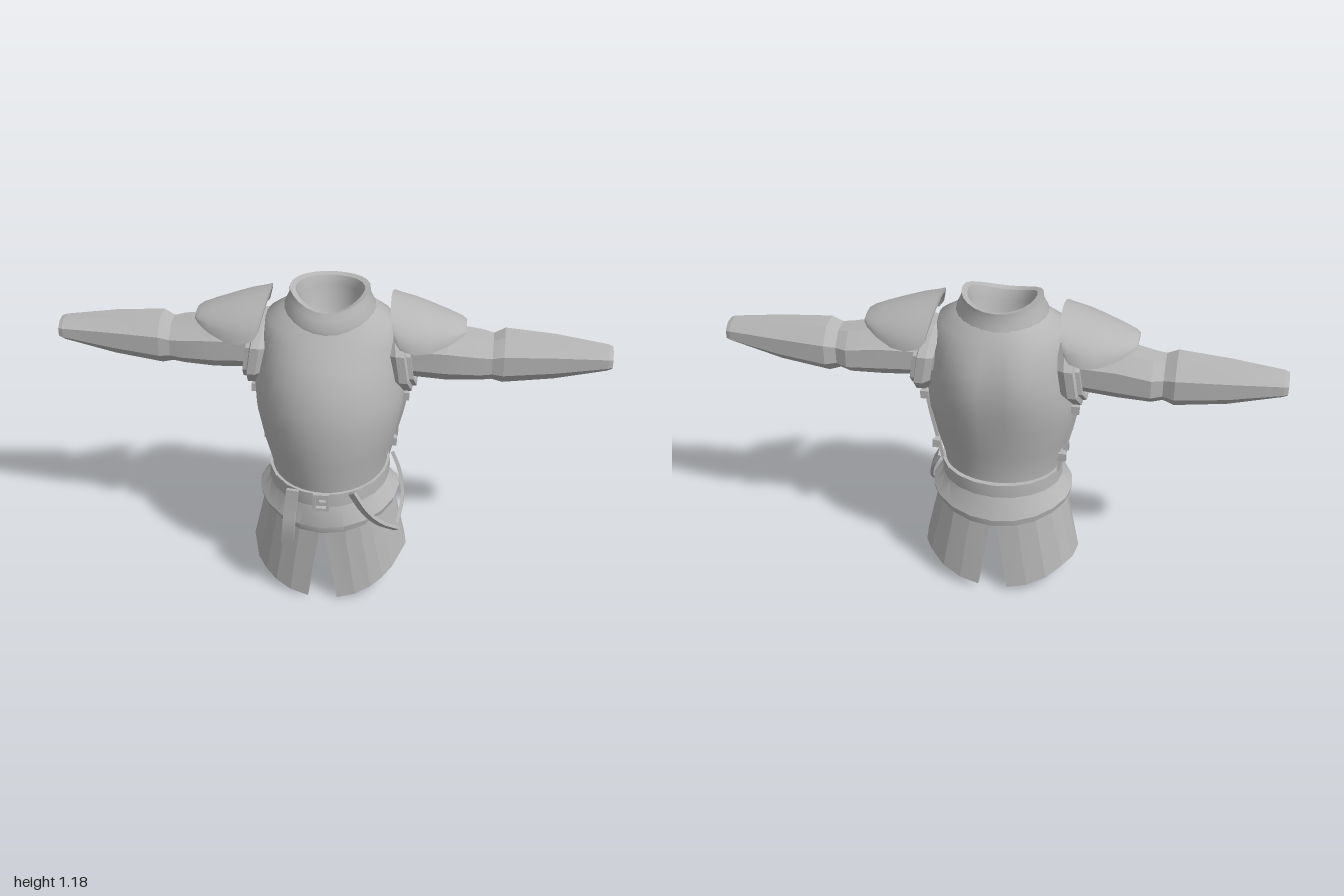
import * as THREE from 'three';
import { toCreasedNormals } from 'three/addons/utils/BufferGeometryUtils.js';

const steel = new THREE.MeshStandardMaterial({ color: 0xb6b6b6, side: THREE.DoubleSide });
steel.name = 'steelGrey';
const V = (x, y, z) => new THREE.Vector3(x, y, z);
const lerp = THREE.MathUtils.lerp;

// Joins closed cross-sections into a skin; caps pair opposite corners
function loft(name, sections, { crease = 0.9, caps = false } = {}) {
  const pos = [], n = sections[0].length;
  const tri = (...p) => p.forEach(v => pos.push(v.x, v.y, v.z));
  const quad = (a, b, c, d) => { tri(a, b, c); tri(a, c, d); };
  for (let i = 0; i < sections.length - 1; i++) {
    for (let j = 0; j < n; j++) {
      const k = (j + 1) % n, a = sections[i], b = sections[i + 1];
      quad(a[j], a[k], b[k], b[j]);
    }
  }
  if (caps) [sections[0], sections.at(-1)].forEach((s, end) => {
    for (let j = 0; j < n / 2 - 1; j++) {
      const q = [s[j], s[j + 1], s[n - 2 - j], s[n - 1 - j]];
      quad(...(end ? q : q.reverse()));
    }
  });
  const g = new THREE.BufferGeometry();
  g.setAttribute('position', new THREE.Float32BufferAttribute(pos, 3));
  const mesh = new THREE.Mesh(toCreasedNormals(g, crease), steel);
  mesh.name = name;
  return mesh;
}

// Point on an oval round the body; angle 0 faces the front
function oval(a, w, front, back, y, power = 1) {
  const bend = v => Math.sign(v) * Math.abs(v) ** power;
  const c = bend(Math.cos(a));
  return V(w * bend(Math.sin(a)), y, -0.02 + c * (c > 0 ? front + 0.02 : -0.02 - back));
}

// Ring whose height may differ at front, side and back
function ring([yf, ys, yb, w, front, back, groove = 0], n = 36) {
  return Array.from({ length: n }, (_, i) => {
    const a = i / n * Math.PI * 2, c = Math.cos(a);
    const p = oval(a, w, front, back, lerp(ys, c > 0 ? yf : yb, c * c));
    if (c < 0) p.z += groove * Math.exp(-((p.x / 0.05) ** 2));
    return p;
  });
}
const level = (y, w, f, b, g) => [y, y, y, w, f, b, g];

// Flat ribbon following a path
function strap(name, points, across, width, thick, pointed = false) {
  const path = new THREE.CatmullRomCurve3(points), dir = across.clone().normalize(), steps = 8;
  const sections = Array.from({ length: steps + 1 }, (_, i) => {
    const p = path.getPoint(i / steps);
    const out = path.getTangent(i / steps).cross(dir).normalize().multiplyScalar(thick / 2);
    const side = dir.clone().multiplyScalar(width / 2 * (pointed && i === steps ? 0.1 : 1));
    return [[1, 1], [-1, 1], [-1, -1], [1, -1]].map(([s, o]) =>
      p.clone().addScaledVector(side, s).addScaledVector(out, o));
  });
  return loft(name, sections, { crease: 0.5, caps: true });
}

function box(name, w, h, d, x, y, z) {
  const m = new THREE.Mesh(new THREE.BoxGeometry(w, h, d), steel);
  m.name = name;
  m.position.set(x, y, z);
  return m;
}

// Parts repeated on both sides, made for +x
function makeSide() {
  const side = new THREE.Group();

  // Sleeve with a pinched elbow: x, y, z, half height, half depth
  const arm = [
    [0.22, 0.93, -0.05, 0.085, 0.09], [0.42, 0.928, -0.055, 0.095, 0.1],
    [0.54, 0.918, -0.065, 0.084, 0.095], [0.58, 0.918, -0.06, 0.077, 0.083],
    [0.62, 0.922, -0.065, 0.092, 0.093], [0.8, 0.928, -0.065, 0.075, 0.075],
    [0.985, 0.938, -0.06, 0.042, 0.054], [1.0, 0.938, -0.06, 0.036, 0.048],
  ].map(([x, y, z, ry, rz]) => Array.from({ length: 8 }, (_, i) => {
    const a = (i + 0.5) / 8 * Math.PI * 2;
    return V(x, y + 1.06 * ry * Math.sin(a), z + 1.06 * rz * Math.cos(a));
  }));
  side.add(loft('sleeve', arm, { crease: 0.2, caps: true }));

  // Stepped rim round the armhole, leaning out at the bottom
  const rim = [[0.225, 0.125], [0.25, 0.142], [0.28, 0.142], [0.285, 0.122], [0.3, 0.12], [0.3, 0.102], [0.25, 0.098]]
    .map(([x, r]) => Array.from({ length: 8 }, (_, i) => {
      const a = (i + 0.5) / 8 * Math.PI * 2, y = r * 0.96 * Math.sin(a);
      return V(x - 0.15 * y, 0.918 + y, -0.048 + r * 1.04 * Math.cos(a));
    }));
  side.add(loft('armholeRim', rim, { crease: 0.2 }));

  // Domed shoulder plate: x, half depth, crown height, edge height
  const plate = [
    [0.215, 0.15, 1.148, 1.04], [0.235, 0.16, 1.142, 1.015], [0.29, 0.162, 1.128, 1.0],
    [0.35, 0.145, 1.108, 1.0], [0.42, 0.108, 1.084, 1.015], [0.465, 0.075, 1.066, 1.032], [0.482, 0.05, 1.055, 1.04],
  ].map(([x, w, top, edge]) => {
    const arc = t => Array.from({ length: 15 }, (_, i) => {
      const a = (i / 14 - 0.5) * Math.PI;
      return V(x + 0.025 * (1 - Math.cos(a)) * (0.48 - x) / 0.26,
        edge + (top - edge - t) * Math.cos(a), -0.04 + (w - t) * Math.sin(a));
    });
    return [...arc(0), ...arc(0.016).reverse()];
  });
  side.add(loft('shoulderPlate', plate, { crease: 0.7, caps: true }));

  // Side seam and its two fasteners
  side.add(strap('sideSeam', [V(0.272, 0.8, -0.045), V(0.272, 0.72, -0.05), V(0.246, 0.6, -0.06), V(0.215, 0.47, -0.07)],
    V(0, 0, 1), 0.012, 0.012));
  [[0.275, 0.757, -0.05], [0.234, 0.553, -0.06]].forEach(([x, y, z]) => {
    side.add(box('fastenerStrap', 0.02, 0.022, 0.08, x, y, z));
    [-0.036, 0.036].forEach(d => side.add(box('fastenerEnd', 0.03, 0.032, 0.012, x, y, z + d)));
  });

  // Half skirt, slit at the front and back
  const skirt = [0, 0.25, 0.5, 0.72, 0.95, 1.57, 1.9, 2.2, 2.55, 2.87, Math.PI].map(a => {
    const b = 0.15 + a / Math.PI * (Math.PI - 0.3);
    const c = Math.cos(b), drop = Math.max(0, (Math.abs(c) - 0.5) / 0.49) ** 1.2;
    const low = 0.09 - drop * (c > 0 ? 0.09 : 0.07), t = 0.014;
    return [
      oval(a, 0.235, 0.235, -0.207, 0.36, 0.8), oval(b, 0.297, 0.238, -0.24, low, 0.88),
      oval(b, 0.297 - t, 0.238 - t, -0.24 + t, low, 0.88), oval(a, 0.235 - t, 0.235 - t, -0.207 + t, 0.36, 0.8),
    ];
  });
  side.add(loft('skirtHalf', skirt, { crease: 0.12, caps: true }));
  return side;
}

export function createModel() {
  const model = new THREE.Group();
  model.name = 'bodyArmour';

  // Breastplate and backplate
  model.add(loft('cuirass', [
    level(0.44, 0.212, 0.23, -0.198), level(0.5, 0.215, 0.24, -0.197), level(0.6, 0.243, 0.255, -0.215),
    level(0.72, 0.268, 0.265, -0.242, 0.008), level(0.8, 0.272, 0.255, -0.258, 0.014),
    level(0.88, 0.262, 0.236, -0.268, 0.02), level(0.95, 0.252, 0.2, -0.258, 0.02),
    level(1.0, 0.245, 0.166, -0.24, 0.014), [1.035, 1.07, 1.065, 0.225, 0.142, -0.208, 0.006],
    [1.07, 1.112, 1.11, 0.155, 0.118, -0.175],
  ].map(r => ring(r)), { crease: 1.2 }));

  // Raised collar turning into a dark-lined bowl
  model.add(loft('collar', [
    [1.05, 1.095, 1.1, 0.165, 0.125, -0.182], [1.075, 1.115, 1.115, 0.162, 0.127, -0.178],
    [1.105, 1.15, 1.145, 0.145, 0.112, -0.172], [1.13, 1.178, 1.165, 0.142, 0.1, -0.172],
    [1.125, 1.172, 1.16, 0.122, 0.078, -0.152], [1.09, 1.13, 1.13, 0.11, 0.062, -0.14],
    level(1.04, 0.105, 0.055, -0.135), level(0.99, 0.075, 0.035, -0.1), level(0.97, 0.002, -0.018, -0.022),
  ].map(r => ring(r, 24)), { crease: 0.7 }));

  // Lining that closes the waist from below
  model.add(loft('waistLining', [
    level(0.4, 0.205, 0.22, -0.19), level(0.5, 0.17, 0.18, -0.16),
    level(0.56, 0.09, 0.09, -0.1), level(0.58, 0.002, -0.018, -0.022),
  ].map(r => ring(r, 24)), { crease: 1.2 }));

  // Flared hip plate with a thick lower lip
  model.add(loft('hipPlate', [
    [0.44, 0.44, 0.44, 0.213, 0.236, -0.2], [0.41, 0.41, 0.41, 0.222, 0.242, -0.21],
    [0.335, 0.365, 0.335, 0.264, 0.257, -0.242], [0.308, 0.342, 0.308, 0.258, 0.251, -0.238],
    [0.308, 0.342, 0.308, 0.23, 0.22, -0.2],
  ].map(r => ring(r, 20)), { crease: 0.45 }));

  // Belt, buckle and hanging end
  model.add(loft('belt', [
    level(0.478, 0.205, 0.23, -0.19), level(0.478, 0.226, 0.25, -0.217),
    level(0.425, 0.226, 0.25, -0.217), level(0.425, 0.205, 0.23, -0.19),
  ].map(r => ring(r, 20)), { crease: 0.45 }));
  [-0.024, 0.024].forEach(x => model.add(box('buckleSide', 0.01, 0.066, 0.018, x, 0.451, 0.256)));
  [0.423, 0.48].forEach(y => model.add(box('buckleBar', 0.056, 0.01, 0.018, 0, y, 0.256)));
  model.add(box('buckleTongue', 0.03, 0.01, 0.014, 0.008, 0.451, 0.258));
  model.add(strap('beltEnd', [V(-0.105, 0.485, 0.24), V(-0.115, 0.4, 0.247), V(-0.12, 0.33, 0.256), V(-0.132, 0.22, 0.243)],
    V(1, 0, 0.15), 0.045, 0.014, true));

  // Sling straps at the left hip
  model.add(strap('frontSling', [V(0.11, 0.485, 0.235), V(0.155, 0.4, 0.222), V(0.205, 0.33, 0.19), V(0.268, 0.262, 0.125)],
    V(0.6, 0.5, 0.5), 0.034, 0.012));
  model.add(strap('rearSling', [V(0.232, 0.485, -0.055), V(0.262, 0.42, -0.035), V(0.28, 0.34, 0.01), V(0.268, 0.262, 0.085)],
    V(0, 0.5, 0.85), 0.034, 0.012));

  // Mirrored sides
  const left = makeSide(), right = makeSide();
  left.name = 'leftSide';
  right.name = 'rightSide';
  right.scale.x = -1;
  model.add(left, right);
  return model;
}
